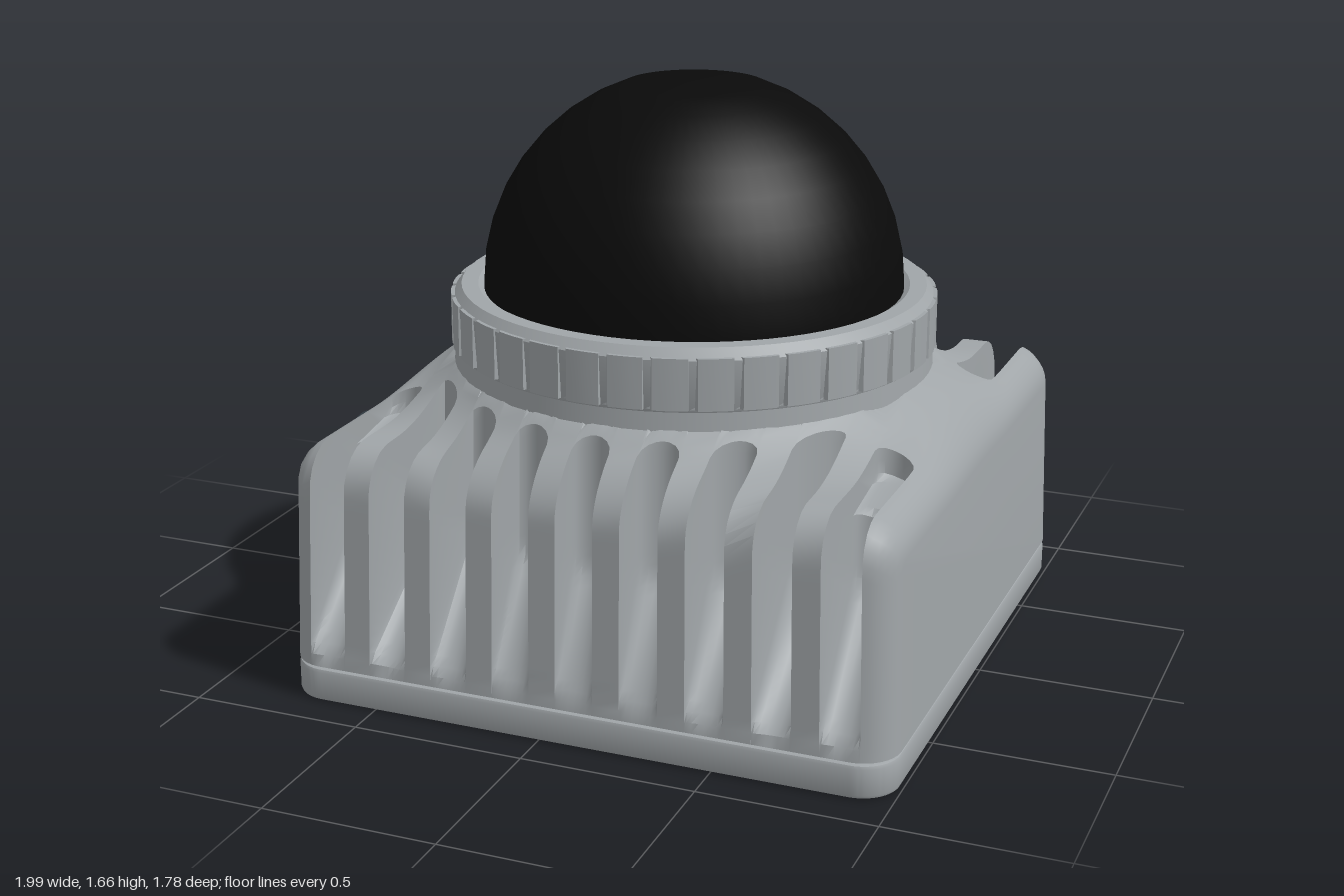
import * as THREE from 'three';
import { toCreasedNormals } from 'three/addons/utils/BufferGeometryUtils.js';

const mat = (name, color) => new THREE.MeshStandardMaterial({ name, color });
const CX = 0.107;                 // housing axis in x
const A = 0.885, B = 0.89;        // half width and half depth of the housing
const RC = 0.11, RT = 0.12;       // corner radius and top edge radius
const SLOT = 0.055, PITCH = 0.1875;

function mesh(name, geometry, material, x = 0, y = 0, z = 0) {
  const m = new THREE.Mesh(geometry, material);
  m.name = name;
  m.position.set(x, y, z);
  return m;
}

const lathe = (pts, seg = 64) =>
  toCreasedNormals(new THREE.LatheGeometry(pts.map(p => new THREE.Vector2(...p)), seg), 0.45);

// Upright slab with rounded corners, optional round holes [x, z, radius]
function slab(w, d, r, y0, y1, bevel, holes = []) {
  const s = new THREE.Shape(), x = w / 2, y = d / 2;
  s.moveTo(x, y - r).absarc(x - r, y - r, r, 0, Math.PI / 2);
  s.absarc(-x + r, y - r, r, Math.PI / 2, Math.PI);
  s.absarc(-x + r, -y + r, r, Math.PI, Math.PI * 1.5);
  s.absarc(x - r, -y + r, r, Math.PI * 1.5, Math.PI * 2);
  for (const [hx, hz, hr] of holes) s.holes.push(new THREE.Path().absarc(hx, -hz, hr, 0, Math.PI * 2, true));
  const g = new THREE.ExtrudeGeometry(s, {
    depth: y1 - y0 - 2 * bevel, bevelEnabled: bevel > 0, bevelThickness: bevel,
    bevelSize: bevel, bevelOffset: -bevel, bevelSegments: 2, curveSegments: 10,
  });
  g.rotateX(-Math.PI / 2).translate(0, y0 + bevel, 0);
  return toCreasedNormals(g, 0.5);
}

// Height of the housing top: flared neck plus rounded outer edge
function topHeight(x, z) {
  const qx = Math.abs(x) - (A - RC), qz = Math.abs(z) - (B - RC);
  const inset = qx > 0 && qz > 0 ? RC - Math.hypot(qx, qz) : RC - Math.max(qx, qz);
  const t = THREE.MathUtils.clamp((0.95 - Math.hypot(x, z)) / 0.25, 0, 1);
  const e = RT - THREE.MathUtils.clamp(inset, 0, RT);
  return 0.75 + 0.12 * t * t - RT + Math.sqrt(RT * RT - e * e);
}

function edgeZ(x) {
  const q = Math.max(0, Math.abs(x) - (A - RC));
  return B - RC + Math.sqrt(Math.max(0, RC * RC - q * q));
}

// Evenly spaced points along a polyline of [z, y]
function resample(pts, n) {
  const len = [0];
  for (let i = 1; i < pts.length; i++)
    len.push(len[i - 1] + Math.hypot(pts[i][0] - pts[i - 1][0], pts[i][1] - pts[i - 1][1]));
  const out = [];
  for (let j = 0, i = 1; j < n; j++) {
    const d = len[len.length - 1] * j / (n - 1);
    while (i < pts.length - 1 && len[i] < d) i++;
    const t = (d - len[i - 1]) / (len[i] - len[i - 1] || 1);
    out.push([0, 1].map(c => pts[i - 1][c] + (pts[i][c] - pts[i - 1][c]) * t));
  }
  return out;
}

// Finned housing: z-y sections lofted along x, stepping in and out at each slot
function housingGeometry() {
  const rows = [];
  const section = (x, inner, slot) => {
    const half = [], ze = edgeZ(x);
    for (let i = 0; i < 24; i++) half.push([inner * i / 24, topHeight(x, inner * i / 24)]);
    let outer = [];
    if (slot) {
      const { wide, lift } = slot;
      outer.push([inner, topHeight(x, inner)]);
      if (wide) outer.push([inner, 0.7], [0.57 + lift, 0.67], [0.57 + lift, 0.45 + lift]);
      else outer.push([inner, 0.45 + lift]);
      outer.push([ze - 0.003, 0.13 + lift], [ze, 0.105]);
    } else {
      for (let i = 0; i <= 14; i++) {
        const z = inner + (ze - inner) * Math.sin(i / 14 * Math.PI / 2);
        outer.push([z, topHeight(x, z)]);
      }
      outer.push([ze, 0.105]);
    }
    half.push(...resample(outer, 28));
    const full = [...half.slice(1).reverse().map(([z, y]) => [-z, y]), ...half];
    rows.push(full.map(([z, y]) => {
      const f = 1 - 0.03 * (y - 0.1);   // slight draft
      return [x * f, y, z * f];
    }));
  };
  const end = PITCH * 4 + SLOT, endInner = 0.38 + SLOT;
  const endX = i => end + (A - end) * Math.sin(i / 7 * Math.PI / 2);
  for (let i = 7; i > 0; i--) section(-endX(i), endInner);
  for (let k = -4; k <= 4; k++) {
    const wide = Math.abs(k) === 4;
    const at = u => {
      const x = k * PITCH + u * SLOT, lift = SLOT * 0.8 * (1 - Math.sqrt(1 - u * u));
      return [x, (wide ? 0.38 : Math.sqrt(0.735 ** 2 - x * x)) + lift, { wide, lift }];
    };
    section(...at(-1).slice(0, 2));
    for (const u of [-1, -0.9, -0.65, -0.3, 0, 0.3, 0.65, 0.9, 1]) section(...at(u));
    section(...at(1).slice(0, 2));
  }
  for (let i = 1; i <= 7; i++) section(endX(i), endInner);

  const n = rows[0].length, last = (rows.length - 1) * n, index = [];
  for (let i = 0; i < rows.length - 1; i++)
    for (let j = 0; j < n - 1; j++) {
      const a = i * n + j;
      index.push(a, a + 1, a + n, a + 1, a + n + 1, a + n);
    }
  for (let j = 1; j < n - 1; j++) index.push(0, j + 1, j, last, last + j, last + j + 1);
  const g = new THREE.BufferGeometry();
  g.setAttribute('position', new THREE.Float32BufferAttribute(rows.flat(2), 3));
  g.setIndex(index);
  return toCreasedNormals(g, 0.55);
}

// Ring outline with shallow grip notches
function gripGeometry() {
  const pts = [], count = 36;
  for (let i = 0; i < count; i++)
    for (const [f, r] of [[0, 0.688], [0.14, 0.688], [0.2, 0.7], [0.46, 0.701], [0.73, 0.701], [0.99, 0.7]]) {
      const a = (i + f) / count * Math.PI * 2;
      pts.push(new THREE.Vector2(r * Math.cos(a), r * Math.sin(a)));
    }
  const g = new THREE.ExtrudeGeometry(new THREE.Shape(pts), { depth: 0.145, bevelEnabled: false });
  g.rotateX(-Math.PI / 2).translate(0, 0.917, 0);
  return toCreasedNormals(g, 0.3);
}

export function createModel() {
  const grey = mat('housing grey', 0xa0a5a8);
  const black = mat('dome black', 0x0a0a0a);
  const dark = mat('connector slate', 0x303940);
  const metal = mat('bright metal', 0xd2d4d6);
  const root = new THREE.Group();
  root.name = 'domeSensor';
  const body = new THREE.Group();
  body.name = 'body';
  body.position.x = CX;
  root.add(body);

  // Base plate with corner screws and mounting holes
  const screws = [], holes = [[0, -0.65, 0.032], [0, 0.44, 0.032]];
  for (const sx of [-1, 1]) for (const sz of [-1, 1]) {
    screws.push([sx * 0.78, sz * 0.78, 0.055]);
    holes.push([sx * 0.64, sz * 0.51, 0.028]);
  }
  body.add(mesh('basePlate', slab(2 * A, 2 * B, RC, 0, 0.098, 0.012, [...screws, ...holes]), grey));
  body.add(mesh('seam', slab(2 * A - 0.03, 2 * B - 0.03, RC, 0.03, 0.13, 0), grey));
  for (const [x, z] of screws) {
    const head = lathe([[0.02, 0.03], [0.02, 0.008], [0.04, 0.008], [0.046, 0.014], [0.046, 0.04]].reverse(), 24);
    head.scale(1, 1, 1);
    const m = mesh('baseScrew', head, grey, x, 0, z);
    body.add(m, mesh('screwSocket', new THREE.CylinderGeometry(0.022, 0.022, 0.02, 6), grey, x, 0.03, z));
  }
  for (const [x, z, r] of holes)
    body.add(mesh('mountingHole', new THREE.CylinderGeometry(r, r, 0.008, 20), metal, x, 0.024, z));

  // Finned housing, neck and grip ring
  body.add(mesh('housing', housingGeometry(), grey));
  body.add(mesh('neck', new THREE.CylinderGeometry(0.69, 0.7, 0.13, 72, 1, true), grey, 0, 0.845, 0));
  body.add(mesh('gripRing', gripGeometry(), grey));
  body.add(mesh('ringRim', lathe([[0.6, 0.9], [0.68, 0.9], [0.688, 0.915], [0.696, 1.055],
    [0.67, 1.085], [0.622, 1.085], [0.6, 1.07]], 72), grey));

  // Dome with a flat cap
  const profile = [[0.605, 1.03]], cap = 0.337;
  for (let i = 0; i <= 8; i++) {
    const a = Math.PI / 2 + (cap - Math.PI / 2) * i / 8;
    profile.push([0.605 * Math.sin(a), 1.085 + 0.605 * Math.cos(a)]);
  }
  profile.push([0, profile[9][1]]);
  body.add(mesh('dome', lathe(profile, 64), black));

  // Connector on the side, modelled along its own y axis
  const plug = new THREE.Group();
  plug.name = 'connector';
  plug.position.set(-0.77, 0.39, 0);
  plug.rotation.z = Math.PI / 2;
  root.add(plug);
  const flange = mesh('flange', slab(0.5, 0.58, 0.05, 0, 0.006, 0), grey);
  flange.rotation.z = 0.026;
  plug.add(flange);
  for (const sx of [-1, 1]) for (const sz of [-1, 1])
    plug.add(mesh('flangeScrew', lathe([[0.045, 0], [0.045, 0.012], [0.038, 0.018], [0.02, 0.018], [0.016, 0.008], [0, 0.008]], 20),
      grey, sx * 0.18, 0, sz * 0.21));
  plug.add(mesh('collar', new THREE.CylinderGeometry(0.15, 0.15, 0.06, 40), grey, 0, 0.02, 0));
  plug.add(mesh('sleeve', lathe([[0, 0.03], [0.152, 0.03], [0.162, 0.042], [0.162, 0.185], [0.148, 0.204],
    [0.142, 0.204], [0.142, 0.23], [0.122, 0.23], [0.118, 0.22]], 40), dark));
  plug.add(mesh('socket', lathe([[0.12, 0.226], [0.116, 0.1], [0, 0.1]], 40), metal));
  for (let i = 0; i < 8; i++) {
    const a = i / 7 * Math.PI * 2, r = i < 7 ? 0.068 : 0;
    plug.add(mesh('pin', new THREE.CylinderGeometry(0.011, 0.011, 0.09, 10), dark, r * Math.cos(a), 0.145, r * Math.sin(a)));
  }
  return root;
}
